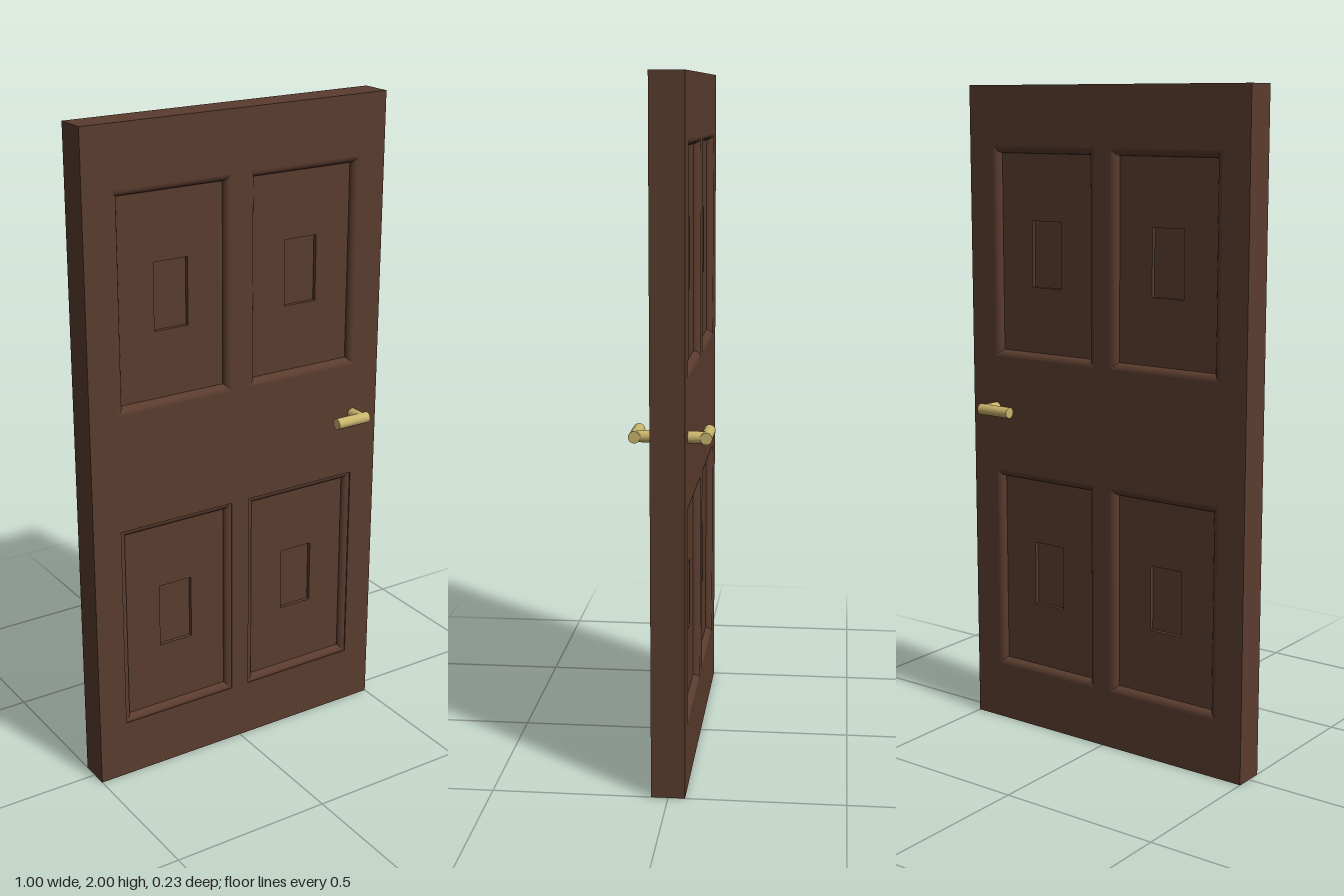
import * as THREE from 'three';
import { mergeGeometries } from 'three/addons/utils/BufferGeometryUtils.js';

const HALF_T = 0.048;   // half the door thickness
const ROLL = 0.02;      // width and depth of the rounded moulding
const PIT = 0.012;      // depth of the small centre recess

// Skin between nested rectangles [halfWidth, halfHeight, z]; smooth along each side, sharp at corners
function loft(rings, cx = 0, cy = 0) {
  const signs = [[-1, -1], [1, -1], [1, 1], [-1, 1]];
  const sides = signs.map((a, i) => {
    const b = signs[(i + 1) % 4];
    const pos = [], idx = [];
    rings.forEach(([w, h, z], k) => {
      pos.push(cx + a[0] * w, cy + a[1] * h, z, cx + b[0] * w, cy + b[1] * h, z);
      if (k) {
        const p = 2 * k - 2;
        idx.push(p, p + 1, p + 3, p, p + 3, p + 2);
      }
    });
    const g = new THREE.BufferGeometry();
    g.setAttribute('position', new THREE.Float32BufferAttribute(pos, 3));
    g.setIndex(idx);
    g.computeVertexNormals();
    return g;
  });
  return mergeGeometries(sides);
}

function rectPath(path, cx, cy, w, h) {
  path.moveTo(cx - w, cy - h);
  path.lineTo(cx + w, cy - h);
  path.lineTo(cx + w, cy + h);
  path.lineTo(cx - w, cy + h);
  path.closePath();
  return path;
}

export function createModel() {
  const wood = new THREE.MeshStandardMaterial({ color: 0x5a3c2e });
  const brass = new THREE.MeshStandardMaterial({ color: 0xc8b46c });
  wood.name = 'dark wood';
  brass.name = 'brass';

  const door = new THREE.Group();
  door.name = 'door';
  const add = (parent, name, geometry, material) => {
    const mesh = new THREE.Mesh(geometry, material);
    mesh.name = name;
    parent.add(mesh);
    return mesh;
  };

  // Four narrow sides of the slab
  add(door, 'doorEdges', loft([[0.5, 1, -HALF_T], [0.5, 1, HALF_T]], 0, 1), wood);

  for (const side of [1, -1]) {
    const label = side > 0 ? 'front' : 'back';
    const face = new THREE.Group();
    face.name = label + 'Face';
    face.rotation.y = side > 0 ? 0 : Math.PI;
    door.add(face);

    // Flat frame with four openings
    const frame = rectPath(new THREE.Shape(), 0, 1, 0.5, 1);

    for (const cy of [0.5, 1.5]) {
      for (const cx of [-0.22, 0.22]) {
        frame.holes.push(rectPath(new THREE.Path(), cx, cy, 0.19, 0.32));

        // The lower front panels have a small crisp lip above the moulding
        const lip = side > 0 && cy < 1 ? 0.004 : 0;
        if (lip) {
          add(face, 'panelLip', loft([[0.19, 0.32, HALF_T], [0.19, 0.32, HALF_T - lip]], cx, cy), wood);
        }

        // Rounded moulding falling to the panel
        const roll = [];
        for (let i = 0; i <= 6; i++) {
          const t = (i / 6) * Math.PI / 2;
          const inset = ROLL * Math.sin(t);
          roll.push([0.19 - inset, 0.32 - inset, HALF_T - lip - (ROLL - lip) * (1 - Math.cos(t))]);
        }
        add(face, 'panelMoulding', loft(roll, cx, cy), wood);

        // Sunken panel with a smaller recess in its centre
        const z = HALF_T - ROLL;
        add(face, 'panel', loft([[0.17, 0.3, z], [0.055, 0.1, z]], cx, cy), wood);
        add(face, 'recessWalls', loft([[0.055, 0.1, z], [0.055, 0.1, z - PIT]], cx, cy), wood);
        add(face, 'recessFloor', new THREE.PlaneGeometry(0.11, 0.2), wood).position.set(cx, cy, z - PIT);
      }
    }
    add(face, 'frame', new THREE.ShapeGeometry(frame), wood).position.z = HALF_T;

    // Lever handle: a stem out of the door and a bar across it
    const handle = new THREE.Group();
    handle.name = label + 'Handle';
    const stem = add(handle, 'handleStem', new THREE.CylinderGeometry(0.017, 0.017, 0.052, 16), brass);
    stem.rotation.x = Math.PI / 2;
    stem.position.set(0.41, 1.018, side * 0.074);
    const lever = add(handle, 'handleLever', new THREE.CylinderGeometry(0.017, 0.017, 0.115, 16), brass);
    lever.rotation.z = Math.PI / 2;
    lever.position.set(0.3725, 1.018, side * 0.099);
    door.add(handle);
  }
  return door;
}
